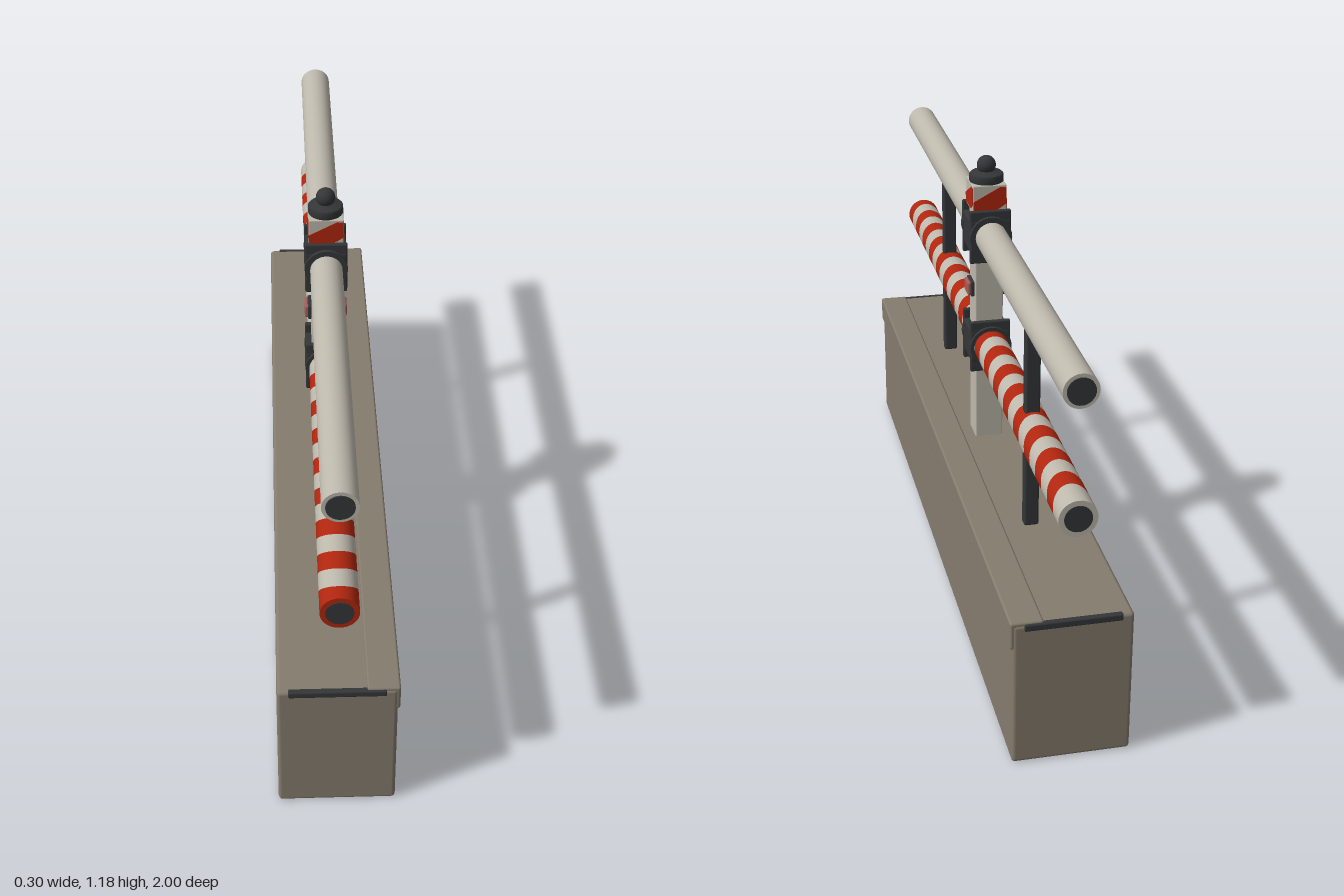
import * as THREE from 'three';
import { mergeGeometries } from 'three/addons/utils/BufferGeometryUtils.js';
import { RoundedBoxGeometry } from 'three/addons/geometries/RoundedBoxGeometry.js';

const material = (name, color) => {
  const m = new THREE.MeshStandardMaterial({ color });
  m.name = name;
  return m;
};

export function createModel() {
  const concrete = material('concrete', 0x857c6e);
  const cream = material('cream paint', 0xbdb8ac);
  const red = material('red paint', 0xb0260f);
  const dark = material('dark metal', 0x343638);
  const reflectorRed = material('reflector', 0xa85a58);
  const model = new THREE.Group();
  model.name = 'railBarrier';

  const add = (name, geometry, mat, x = 0, y = 0, z = 0, parent = model) => {
    const mesh = new THREE.Mesh(geometry, mat);
    mesh.name = name;
    mesh.position.set(x, y, z);
    parent.add(mesh);
    return mesh;
  };
  const box = (w, h, d, r = 0.004) => new RoundedBoxGeometry(w, h, d, 2, r);
  const zCylinder = (r, length, open = false) =>
    new THREE.CylinderGeometry(r, r, length, 32, 1, open).rotateX(Math.PI / 2);

  // Concrete base with a raised lip along its left edge and trim at both ends
  add('base', box(0.29, 0.385, 1.95, 0.01), concrete, -0.003, 0.1925, 0);
  add('baseLip', box(0.08, 0.072, 1.945, 0.006), concrete, 0.108, 0.355, 0);
  for (const s of [1, -1]) {
    add('endTrim', box(0.235, 0.018, 0.016, 0.004), dark, -0.003, 0.377, s * 0.97);
  }

  // Square post with a wider painted head
  add('post', box(0.076, 0.71, 0.076), cream, 0, 0.73, 0);
  add('postHead', box(0.09, 0.075, 0.09, 0.003), cream, 0, 1.08, 0);
  const stripe = new THREE.Shape([
    [-0.044, 1.05], [0.02, 1.05], [0.044, 1.066], [0.044, 1.11], [0.028, 1.112], [-0.044, 1.074],
  ].map(([x, y]) => new THREE.Vector2(x, y)));
  const stripeGeometry = new THREE.ExtrudeGeometry(stripe, { depth: 0.002, bevelEnabled: false });
  for (let i = 0; i < 4; i++) {
    const holder = new THREE.Group();
    holder.name = 'headStripe';
    holder.rotation.y = i * Math.PI / 2;
    add('stripePlate', stripeGeometry, red, 0, 0, 0.0445, holder);
    model.add(holder);
  }

  // Lathe-turned cap with a ball on top
  const capProfile = [[0, 1.114], [0.041, 1.114], [0.045, 1.118], [0.045, 1.136], [0.041, 1.14], [0.024, 1.142], [0.015, 1.15], [0, 1.15]];
  add('postCap', new THREE.LatheGeometry(capProfile.map(p => new THREE.Vector2(...p)), 32), dark);
  add('capBall', new THREE.SphereGeometry(0.025, 24, 16), dark, 0, 1.16, 0);

  // Side reflectors
  for (const s of [1, -1]) {
    add('reflectorFrame', box(0.012, 0.042, 0.056, 0.004), dark, s * 0.042, 0.822, 0);
    add('reflector', box(0.014, 0.036, 0.048, 0.005), reflectorRed, s * 0.049, 0.822, 0);
  }

  // Upper rail
  const upperY = 0.98, lowerY = 0.666, lowerR = 0.046;
  add('upperRail', zCylinder(0.042, 1.994), cream, 0, upperY, 0);

  // Lower rail: bands whose edges bend around the tube
  const bend = a => (Math.sin(a) > 0 ? 0.032 : 0.022) * Math.abs(Math.sin(a)) - 0.012;
  const band = (z0, z1) => {
    const positions = [], normals = [], index = [], n = 40;
    for (let i = 0; i <= n; i++) {
      const a = i / n * Math.PI * 2, c = Math.cos(a), s = Math.sin(a);
      for (const z of [z0, z1]) {
        const edge = Math.abs(z) > 0.99 ? z : Math.min(z + bend(a), 0.997);
        positions.push(lowerR * c, lowerR * s, edge);
        normals.push(c, s, 0);
      }
      if (i < n) {
        const k = i * 2;
        index.push(k, k + 2, k + 1, k + 1, k + 2, k + 3);
      }
    }
    const g = new THREE.BufferGeometry();
    g.setAttribute('position', new THREE.Float32BufferAttribute(positions, 3));
    g.setAttribute('normal', new THREE.Float32BufferAttribute(normals, 3));
    // corners run counter-clockwise when z0 is behind z1
    g.setIndex(index);
    return g;
  };
  const redBands = [], creamBands = [], step = 0.937 / 16;
  for (const start of [0.997, -0.06]) {
    for (let i = 0; i < 16; i++) {
      const z1 = start - i * step;
      (i % 2 ? creamBands : redBands).push(band(z1 - step, z1));
    }
  }
  creamBands.push(band(-0.06, 0.06));
  add('lowerRailRedBands', mergeGeometries(redBands), red, 0, lowerY, 0);
  add('lowerRailCreamBands', mergeGeometries(creamBands), cream, 0, lowerY, 0);

  // Rail ends
  for (const s of [1, -1]) {
    add('lowerRailEnd', zCylinder(lowerR, 0.004), s > 0 ? red : cream, 0, lowerY, s * 0.996);
    for (const y of [upperY, lowerY]) {
      add('railPlug', zCylinder(0.033, 0.008), dark, 0, y, s * 0.996);
    }
  }

  // Clamps holding the rails to the post
  for (const y of [upperY, lowerY]) {
    const clamp = new THREE.Group();
    clamp.name = 'clamp';
    clamp.position.y = y;
    add('clampBody', box(0.108, 0.088, 0.112, 0.005), dark, 0, 0, 0, clamp);
    for (const s of [1, -1]) {
      add('clampPlate', box(0.11, 0.145, 0.014, 0.004), dark, 0, -0.002, s * 0.048, clamp);
      add('clampCollar', zCylinder(0.056, 0.024), dark, 0, 0, s * 0.053, clamp);
    }
    model.add(clamp);
  }

  // Upright braces from the base to the upper rail
  for (const s of [1, -1]) {
    add('brace', box(0.038, 0.565, 0.03, 0.006), dark, 0, 0.675, s * 0.54);
  }
  return model;
}
